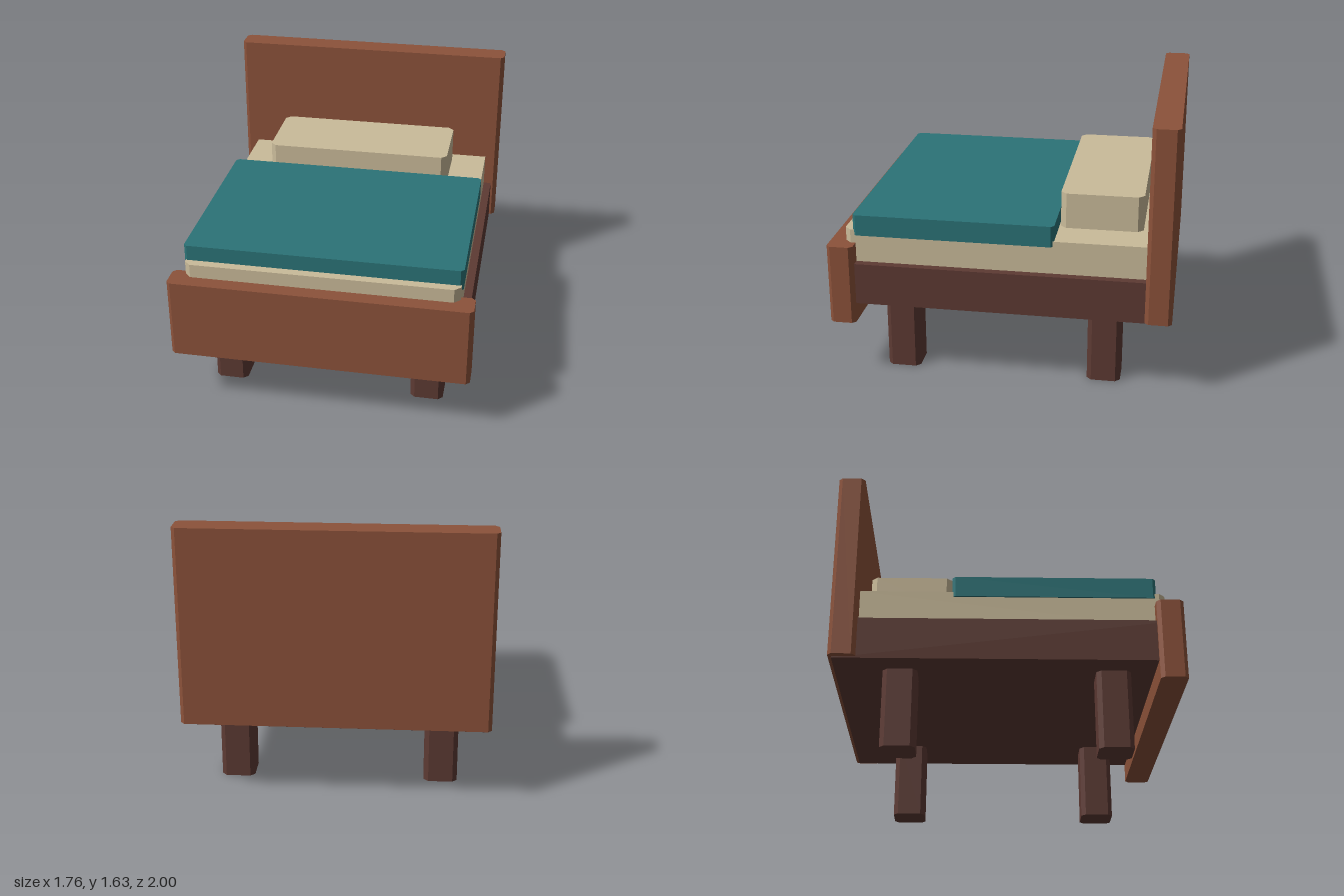
import * as THREE from 'three';

const mat = (name, color) => {
  const m = new THREE.MeshStandardMaterial({ color });
  m.name = name;
  return m;
};

// Block with its four upright edges cut at 45 degrees
function block(name, material, [x0, x1], [y0, y1], [z0, z1], cut) {
  const w = (x1 - x0) / 2, d = (z1 - z0) / 2;
  const outline = new THREE.Shape([
    [w - cut, -d], [w, -d + cut], [w, d - cut], [w - cut, d],
    [-w + cut, d], [-w, d - cut], [-w, -d + cut], [-w + cut, -d],
  ].map(([x, y]) => new THREE.Vector2(x, y)));
  const geo = new THREE.ExtrudeGeometry(outline, { depth: y1 - y0, bevelEnabled: false });
  geo.rotateX(-Math.PI / 2);
  const mesh = new THREE.Mesh(geo, material);
  mesh.name = name;
  mesh.position.set((x0 + x1) / 2, y0, (z0 + z1) / 2);
  return mesh;
}

export function createModel() {
  const wood = mat('warm wood', 0x8c523a);
  const darkWood = mat('dark wood', 0x5d3a33);
  const linen = mat('cream linen', 0xcabb9a);
  const blanketCloth = mat('teal cloth', 0x2b7377);

  const bed = new THREE.Group();
  bed.name = 'bed';

  // End boards
  bed.add(block('headboard', wood, [-0.88, 0.88], [0.475, 1.627], [-1, -0.845], 0.022));
  bed.add(block('footboard', wood, [-0.88, 0.88], [0.35, 0.83], [0.845, 1], 0.022));

  // Base frame, its ends let into the boards
  const frame = new THREE.Mesh(new THREE.BoxGeometry(1.69, 0.25, 1.96), darkWood);
  frame.name = 'frame';
  frame.position.y = 0.59;
  bed.add(frame);

  // Bedding
  bed.add(block('mattress', linen, [-0.797, 0.797], [0.7, 0.912], [-0.91, 0.91], 0.036));
  bed.add(block('pillow', linen, [-0.577, 0.577], [0.9, 1.124], [-0.807, -0.325], 0.033));
  bed.add(block('blanket', blanketCloth, [-0.807, 0.807], [0.88, 1.005], [-0.317, 0.857], 0.018));

  // Four legs
  for (const x of [-0.607, 0.607]) {
    for (const z of [-0.607, 0.607]) {
      bed.add(block('leg', darkWood, [x - 0.099, x + 0.099], [0, 0.48], [z - 0.099, z + 0.099], 0.027));
    }
  }
  return bed;
}
